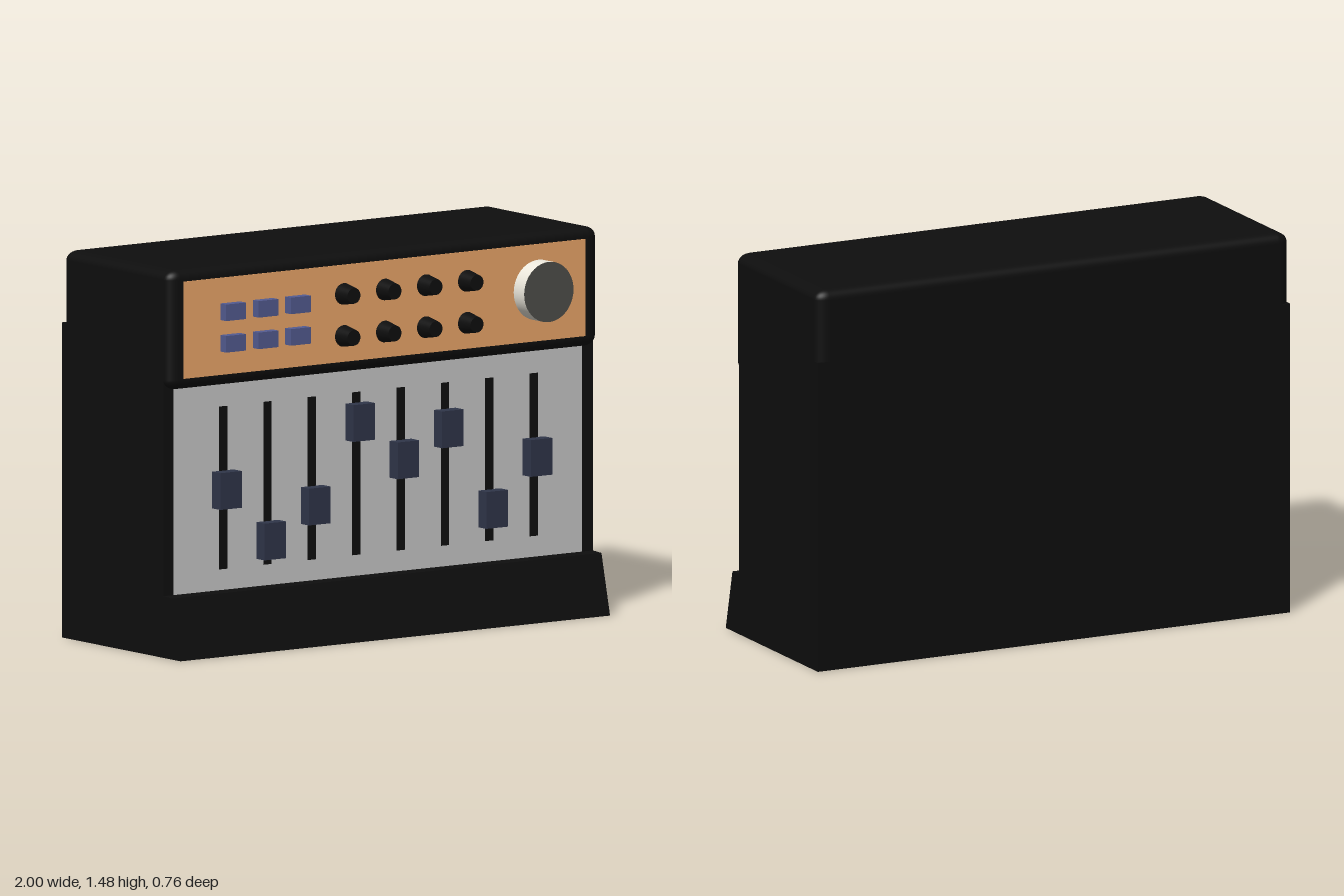
import * as THREE from 'three';
import { RoundedBoxGeometry } from 'three/addons/geometries/RoundedBoxGeometry.js';

const paint = (color) => new THREE.MeshStandardMaterial({ color });

export function createModel() {
  const model = new THREE.Group();
  model.name = 'mixingConsole';

  const black = paint(0x0e0e0e);
  const orange = paint(0xf0aa6c);
  const grey = paint(0xcccccc);
  const slate = paint(0x30364a);
  const blue = paint(0x545c92);
  const ivory = paint(0xeeeade);
  const capGrey = paint(0x50504b);

  function add(name, geometry, material, x = 0, y = 0, z = 0, parent = model) {
    const mesh = new THREE.Mesh(geometry, material);
    mesh.name = name;
    mesh.position.set(x, y, z);
    parent.add(mesh);
    return mesh;
  }

  // Box given by its back and front z
  function slab(name, material, w, h, x, y, z0, z1, parent) {
    return add(name, new THREE.BoxGeometry(w, h, z1 - z0), material, x, y, (z0 + z1) / 2, parent);
  }

  // Lower cabinet with sloping front foot, extruded across the width
  const profile = new THREE.Shape();
  [[-0.38, 0], [0.38, 0], [0.325, 0.232], [0.27, 0.235], [0.27, 1.2], [-0.38, 1.2]]
    .forEach(([z, y], i) => (i ? profile.lineTo(-z, y) : profile.moveTo(-z, y)));
  const cabinet = new THREE.ExtrudeGeometry(profile, { depth: 2, bevelEnabled: false });
  cabinet.translate(0, 0, -1).rotateY(Math.PI / 2);
  add('cabinet', cabinet, black);

  // Rounded upper housing
  const hood = new RoundedBoxGeometry(1.44, 0.455, 0.69, 4, 0.037);
  hood.scale(2 / 1.44, 1, 1);
  add('upperHousing', hood, black, 0, 1.2475, -0.035);

  // Front panels
  slab('controlPanel', orange, 1.87, 0.37, 0, 1.247, 0.29, 0.313);
  slab('faderPanel', grey, 1.9, 0.785, -0.003, 0.628, 0.25, 0.273);

  // Faders in their slots
  const faders = new THREE.Group();
  faders.name = 'faders';
  model.add(faders);
  [0.62, 0.41, 0.525, 0.825, 0.665, 0.765, 0.44, 0.62].forEach((y, i) => {
    const x = -0.725 + i * 0.2066;
    slab('faderSlot', black, 0.037, 0.62, x, 0.625, 0.265, 0.276, faders);
    slab('faderCap', slate, 0.1, 0.14, x, y, 0.27, 0.325, faders);
  });

  // Push buttons and small tapered knobs, two rows each
  const controls = new THREE.Group();
  controls.name = 'buttonsAndKnobs';
  model.add(controls);
  const knob = new THREE.CylinderGeometry(0.03, 0.042, 0.07, 32).rotateX(Math.PI / 2);
  for (const row of [0, 1]) {
    for (let i = 0; i < 3; i++) {
      slab('button', blue, 0.092, 0.063, -0.72 + i * 0.151, 1.303 - row * 0.12, 0.3, 0.35, controls);
    }
    for (let i = 0; i < 4; i++) {
      add('smallKnob', knob, black, -0.191 + i * 0.191, 1.321 - row * 0.16, 0.343, controls);
    }
  }

  // Large dial with a dark face
  const dial = new THREE.CylinderGeometry(0.115, 0.115, 0.08, 40).rotateX(Math.PI / 2);
  const dialMesh = add('largeDial', dial, ivory, 0.715, 1.257, 0.34);
  dialMesh.material = [ivory, capGrey, ivory];

  return model;
}
